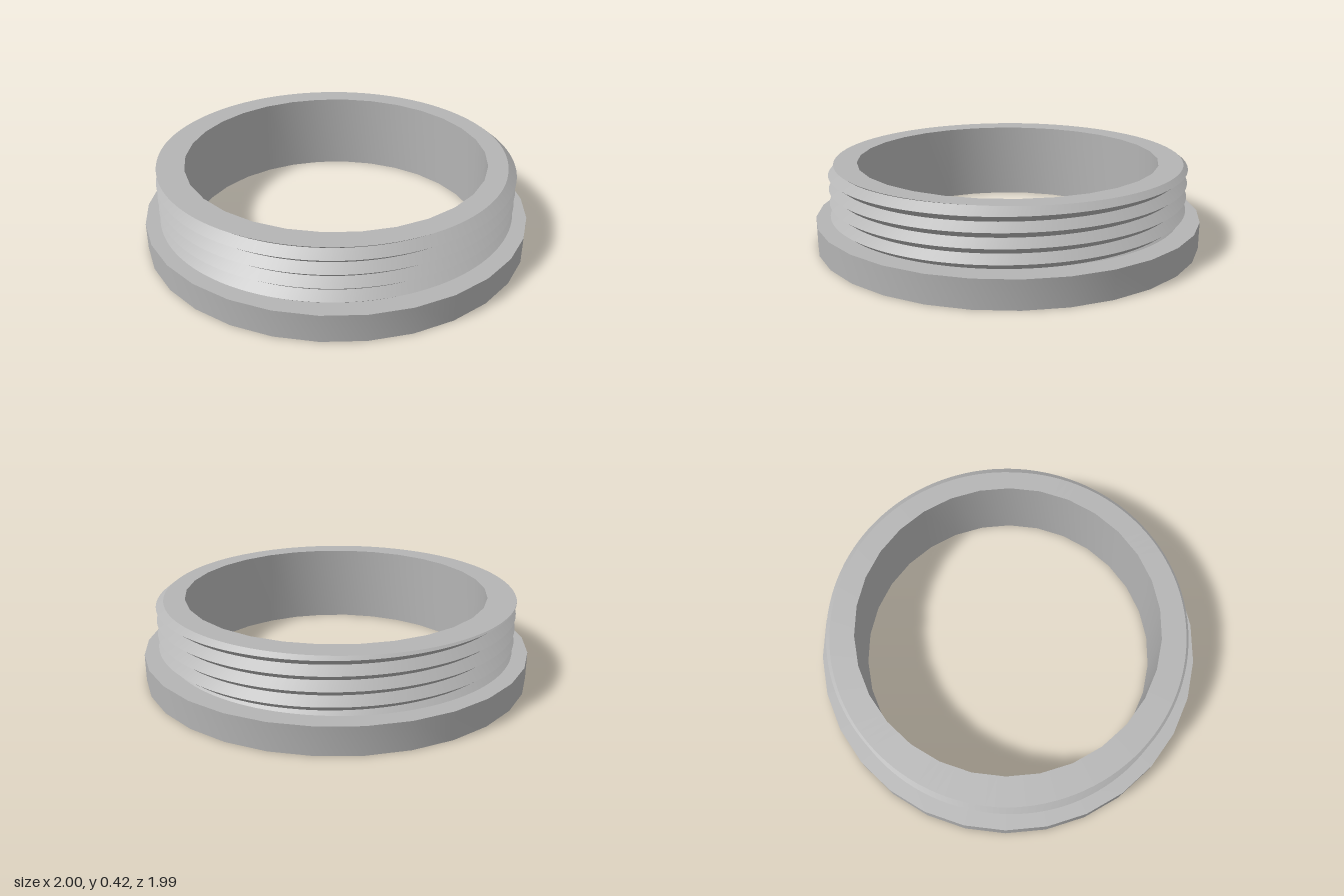
import * as THREE from 'three';
import { toCreasedNormals } from 'three/addons/utils/BufferGeometryUtils.js';

const BORE = 0.78, FLANGE_R = 1, FLANGE_H = 0.14, TOP = 0.42;
const ROOT = 0.88, CREST = 0.925, PITCH = 0.071, CREST_Y = 0.38;
const SIDES = 30, THREAD_STEPS = 120;

// V-shaped thread radius at height y and angle t (right-handed helix)
function threadRadius(y, t) {
  const turns = (y - CREST_Y) / PITCH - t / (2 * Math.PI);
  const fromCrest = Math.abs(turns - Math.round(turns)) * 2;
  return CREST + (ROOT - CREST) * fromCrest;
}

// Radius of the many-sided bore, so the end face meets it exactly
function boreRadius(t) {
  const step = (2 * Math.PI) / SIDES;
  return (BORE * Math.cos(step / 2)) / Math.cos((t % step) - step / 2);
}

// Helical rows of crests and roots, trimmed at both ends, plus the flat end face
function threadGeometry() {
  const positions = [], indices = [], rows = 14;
  const start = CREST_Y - 5 * PITCH;
  for (let i = 0; i <= THREAD_STEPS; i++) {
    const t = (i / THREAD_STEPS) * 2 * Math.PI;
    for (let j = 0; j <= rows; j++) {
      const helixY = start + (j * PITCH) / 2 + (PITCH * t) / (2 * Math.PI);
      const y = j === rows ? TOP : THREE.MathUtils.clamp(helixY, FLANGE_H, TOP);
      const r = j === rows ? boreRadius(t) : threadRadius(y, t);
      positions.push(r * Math.cos(t), y, -r * Math.sin(t));
    }
  }
  for (let i = 0; i < THREAD_STEPS; i++) {
    for (let j = 0; j < rows; j++) {
      const a = i * (rows + 1) + j, b = a + rows + 1;
      indices.push(a, b, b + 1, a, b + 1, a + 1);
    }
  }
  const geometry = new THREE.BufferGeometry();
  geometry.setAttribute('position', new THREE.Float32BufferAttribute(positions, 3));
  geometry.setIndex(indices);
  return toCreasedNormals(geometry, 0.5);
}

// Bore wall, underside, flange rim and flange shoulder
function flangeGeometry() {
  const profile = [
    [BORE, TOP], [BORE, 0], [FLANGE_R, 0], [FLANGE_R, FLANGE_H], [ROOT - 0.02, FLANGE_H],
  ].map(([r, y]) => new THREE.Vector2(r, y));
  return toCreasedNormals(new THREE.LatheGeometry(profile, SIDES, Math.PI / 2), 0.5);
}

export function createModel() {
  const grey = new THREE.MeshStandardMaterial({ color: 0xb4b4b4 });
  grey.name = 'grey';

  const group = new THREE.Group();
  group.name = 'threadedRing';
  const flange = new THREE.Mesh(flangeGeometry(), grey);
  flange.name = 'flangeAndBore';
  const thread = new THREE.Mesh(threadGeometry(), grey);
  thread.name = 'screwThread';
  group.add(flange, thread);
  return group;
}
